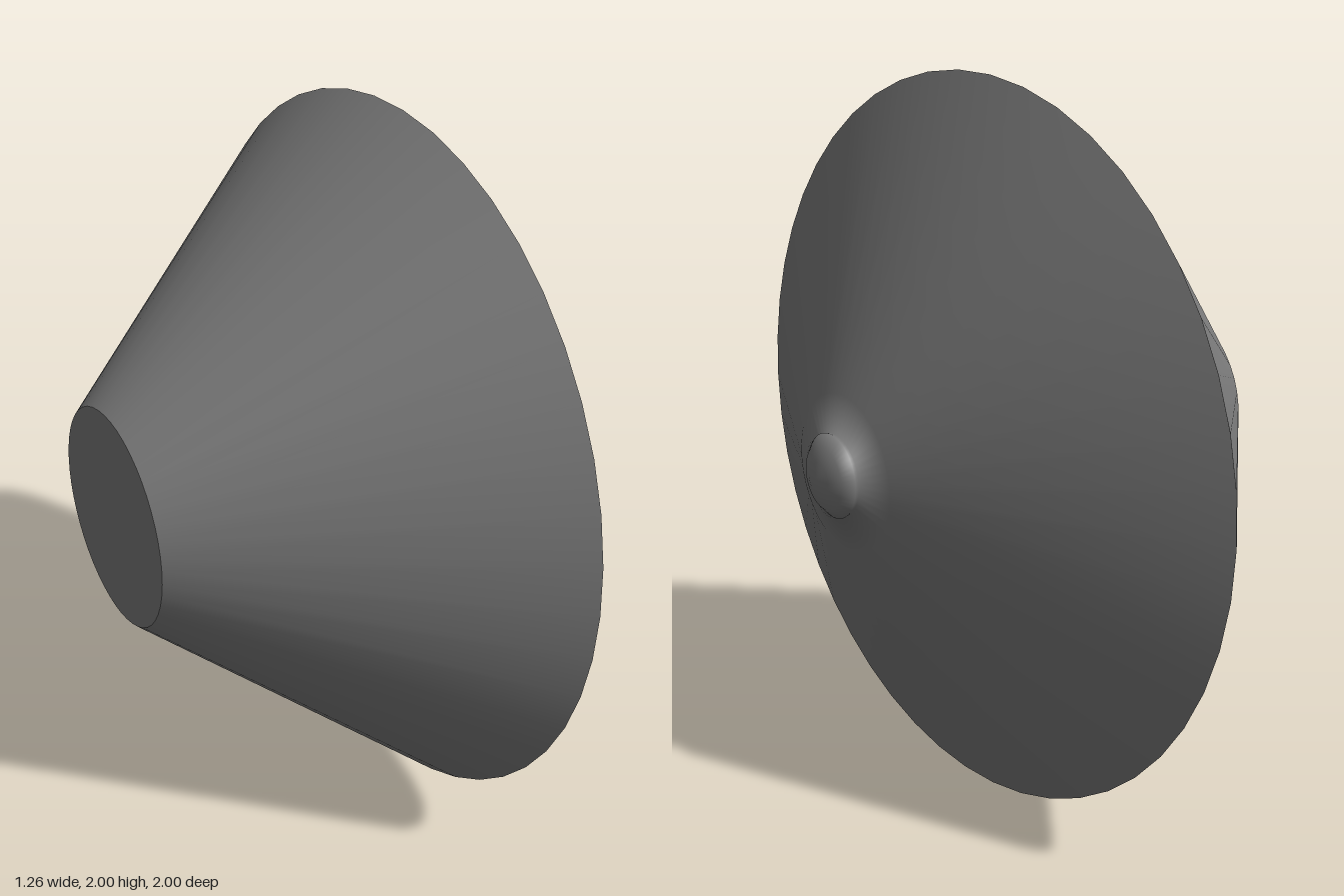
import * as THREE from 'three';

const SEGMENTS = 48;

// Turned section: profile is a list of [radius, x], running from -x to +x
function turned(name, profile, material) {
  const points = profile.map(([r, x]) => new THREE.Vector2(r, x));
  const geometry = new THREE.LatheGeometry(points, SEGMENTS);

  // Even blend of neighbouring slopes, so short steps round off as softly as long ones
  const slopes = points.slice(1).map((p, i) => {
    const d = p.clone().sub(points[i]).normalize();
    return new THREE.Vector2(d.y, -d.x);
  });
  const blended = points.map((p, i) => {
    const before = slopes[Math.max(i - 1, 0)];
    const after = slopes[Math.min(i, slopes.length - 1)];
    return before.clone().add(after).normalize();
  });
  blended[points.length - 1].x *= points[points.length - 1].x === 0 ? 0 : 1;
  const normal = geometry.attributes.normal;
  for (let i = 0; i < normal.count; i++) {
    const angle = Math.floor(i / points.length) / SEGMENTS * Math.PI * 2;
    const n = blended[i % points.length];
    normal.setXYZ(i, n.x * Math.sin(angle), n.y, n.x * Math.cos(angle));
  }
  geometry.normalizeNormals();
  geometry.rotateZ(-Math.PI / 2);

  const mesh = new THREE.Mesh(geometry, material);
  mesh.name = name;
  mesh.position.y = 1;
  return mesh;
}

export function createModel() {
  const model = new THREE.Group();
  model.name = 'flaredCone';
  const grey = new THREE.MeshStandardMaterial({ color: 0x7c7c7c });

  // Separate sections keep the rim and the back edge sharp
  model.add(
    turned('backCap', [[0, -0.643], [0.3, -0.643]], grey),
    turned('rearCone', [[0.3, -0.643], [1, 0.15]], grey),
    // Shallow front cone ending in a small, slightly undercut nose
    turned('frontConeAndNose', [
      [1, 0.15], [0.21, 0.535], [0.11, 0.56], [0.113, 0.572],
      [0.085, 0.597], [0.045, 0.612], [0, 0.619],
    ], grey),
  );
  return model;
}
